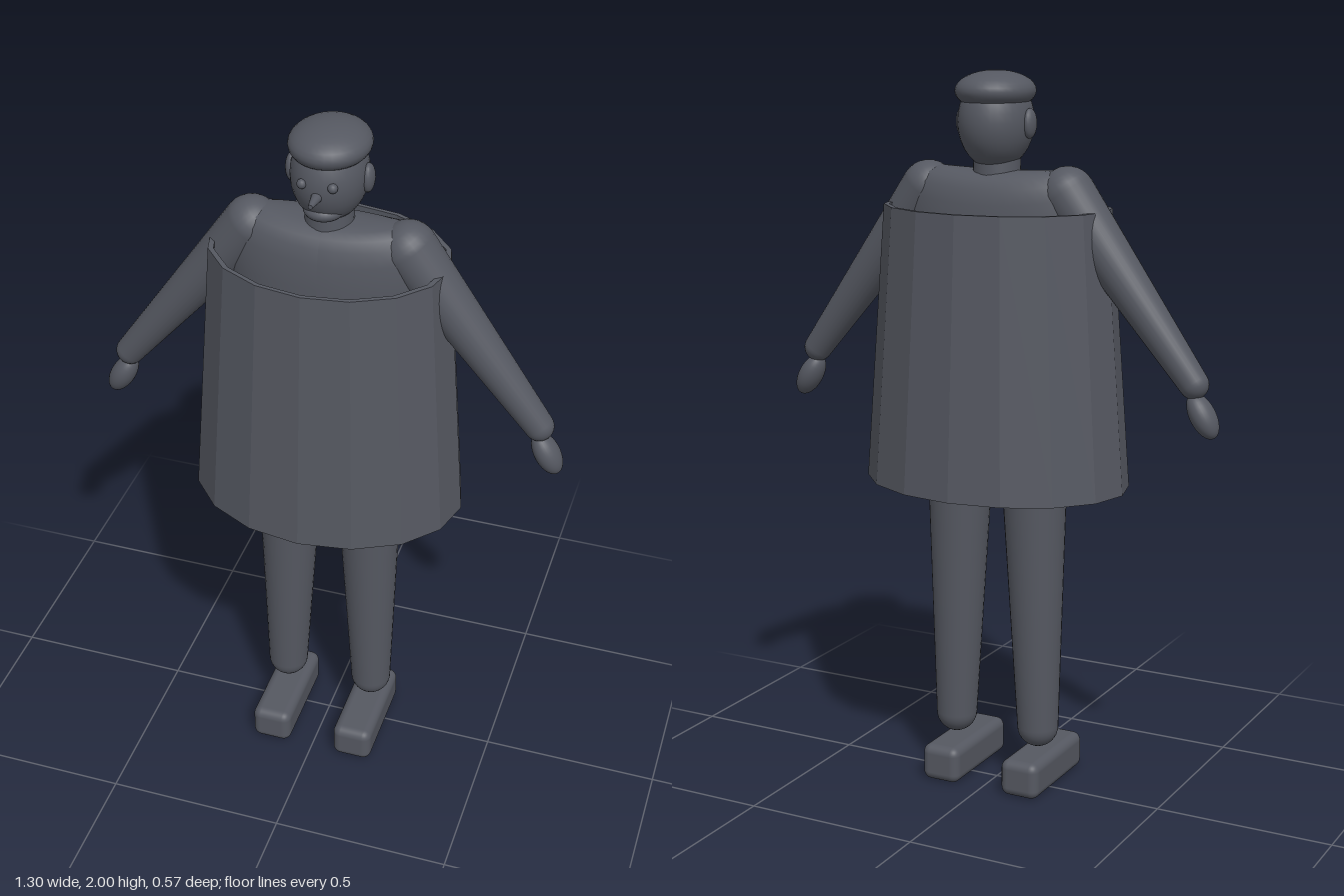
import * as THREE from 'three';
import { RoundedBoxGeometry } from 'three/addons/geometries/RoundedBoxGeometry.js';

export function createModel() {
  const model = new THREE.Group();
  model.name = 'figure';
  const charcoal = new THREE.MeshStandardMaterial({ color: 0x555861 });
  charcoal.name = 'charcoal';

  const add = (name, geometry, x = 0, y = 0, z = 0) => {
    const mesh = new THREE.Mesh(geometry, charcoal);
    mesh.name = name;
    mesh.position.set(x, y, z);
    model.add(mesh);
    return mesh;
  };
  const ellipsoid = (name, [x, y, z], [rx, ry, rz], detail = 32) =>
    add(name, new THREE.SphereGeometry(1, detail, detail / 2).scale(rx, ry, rz), x, y, z);

  // Tapered limb with rounded ends; a and b are the centres of the end balls
  const limb = (name, a, b, ra, rb) => {
    const from = new THREE.Vector3(...a), to = new THREE.Vector3(...b);
    const length = from.distanceTo(to);
    const profile = [];
    for (let i = 0; i <= 8; i++) {
      const t = -Math.PI / 2 + (i / 8) * Math.PI / 2;
      profile.push(new THREE.Vector2(Math.max(0, ra * Math.cos(t)), ra * Math.sin(t)));
    }
    for (let i = 0; i <= 8; i++) {
      const t = (i / 8) * Math.PI / 2;
      profile.push(new THREE.Vector2(Math.max(0, rb * Math.cos(t)), length + rb * Math.sin(t)));
    }
    const mesh = add(name, new THREE.LatheGeometry(profile, 28), ...a);
    mesh.quaternion.setFromUnitVectors(new THREE.Vector3(0, 1, 0), to.sub(from).normalize());
    return mesh;
  };

  // Torso: oval sections [y, half width, half depth], shoulders lifted at the sides
  const rings = [
    [0.89, 0, 0], [0.9, 0.12, 0.06], [0.94, 0.19, 0.09], [1.1, 0.2, 0.1],
    [1.4, 0.24, 0.11], [1.58, 0.28, 0.11], [1.65, 0.275, 0.105], [1.69, 0.255, 0.095],
    [1.715, 0.23, 0.08], [1.73, 0.18, 0.06], [1.735, 0.1, 0.035], [1.736, 0, 0],
  ];
  const torso = new THREE.LatheGeometry(rings.map(([y, w]) => new THREE.Vector2(w, y)), 40);
  const p = torso.attributes.position;
  for (let i = 0; i < p.count; i++) {
    const [y, w, d] = rings[i % rings.length];
    if (w > 0) p.setZ(i, p.getZ(i) * d / w);
    if (y > 1.6) p.setY(i, y + 0.4 * p.getX(i) ** 2);
  }
  torso.computeVertexNormals();
  add('torso', torso);

  // Faceted, hollow oval coat
  const coatProfile = [[1, 0.88], [0.85, 1.64], [0.81, 1.64], [0.96, 0.88], [1, 0.88]];
  const coat = new THREE.LatheGeometry(coatProfile.map(([r, y]) => new THREE.Vector2(r, y)), 16)
    .scale(0.38, 1, 0.285).toNonIndexed();
  coat.computeVertexNormals();
  add('coat', coat);

  // Limbs, hands and shoes
  for (const [side, s] of [['left', 1], ['right', -1]]) {
    limb(side + 'Arm', [s * 0.21, 1.68, 0], [s * 0.578, 1.205, 0], 0.075, 0.04);
    const hand = ellipsoid(side + 'Hand', [s * 0.605, 1.123, 0], [0.034, 0.066, 0.04]);
    hand.rotation.z = s * 0.53;
    limb(side + 'Leg', [s * 0.115, 0.93, 0], [s * 0.13, 0.178, 0], 0.092, 0.058);
    add(side + 'Shoe', new RoundedBoxGeometry(0.115, 0.105, 0.31, 4, 0.025), s * 0.125, 0.0525, 0.035);
  }

  // Head
  add('neck', new THREE.CylinderGeometry(0.062, 0.066, 0.12, 28), 0, 1.745, 0);
  ellipsoid('head', [0, 1.865, -0.005], [0.1, 0.128, 0.115]);
  ellipsoid('cap', [0, 1.946, -0.008], [0.106, 0.054, 0.12]);
  ellipsoid('jaw', [0, 1.785, 0.042], [0.054, 0.028, 0.057]);
  for (const [side, s] of [['left', 1], ['right', -1]]) {
    ellipsoid(side + 'Ear', [s * 0.1, 1.862, -0.005], [0.017, 0.04, 0.027], 20);
    ellipsoid(side + 'Eye', [s * 0.04, 1.877, 0.1], [0.013, 0.013, 0.013], 16);
  }
  add('nose', new THREE.CylinderGeometry(0.006, 0.016, 0.06, 16).rotateX(Math.PI / 2), 0, 1.848, 0.125);

  return model;
}
